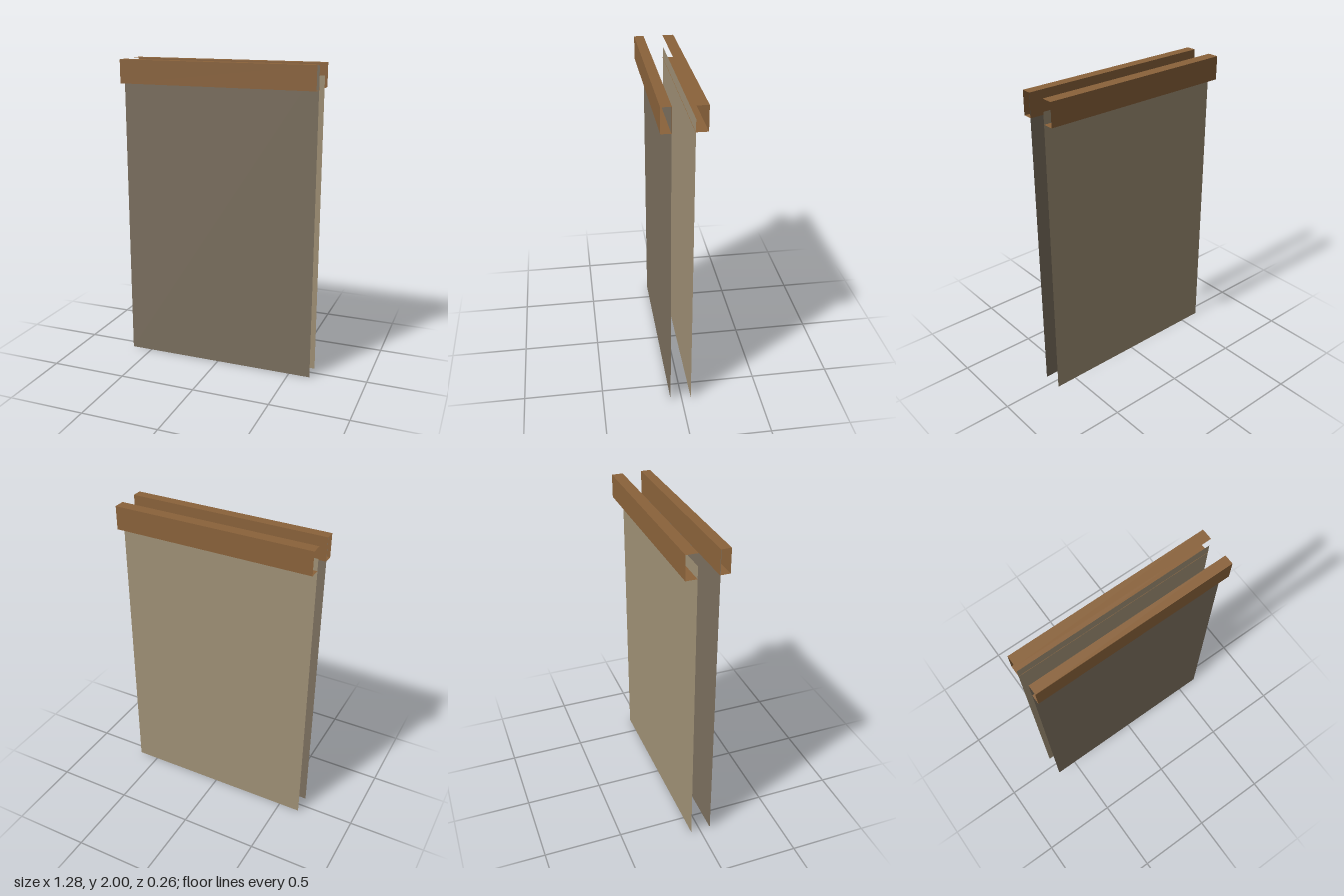
import * as THREE from 'three';

const WIDTH = 1.28, TOP = 2, VALANCE_BOTTOM = 1.85;

function material(name, color) {
  const m = new THREE.MeshStandardMaterial({ color, side: THREE.DoubleSide });
  m.name = name;
  return m;
}

// Thin upright sheet between two heights
function sheet(name, mat, y0, y1, z) {
  const mesh = new THREE.Mesh(new THREE.PlaneGeometry(WIDTH, y1 - y0), mat);
  mesh.name = name;
  mesh.position.set(0, (y0 + y1) / 2, z);
  return mesh;
}

// Thin level sheet between two depths
function shelf(name, mat, y, z0, z1) {
  const mesh = new THREE.Mesh(new THREE.PlaneGeometry(WIDTH, Math.abs(z1 - z0)), mat);
  mesh.name = name;
  mesh.rotation.x = -Math.PI / 2;
  mesh.position.set(0, y, (z0 + z1) / 2);
  return mesh;
}

// Open-ended channel: face, top and bottom
function valance(name, mat, inner, outer) {
  const group = new THREE.Group();
  group.name = name;
  group.add(
    sheet('valanceFace', mat, VALANCE_BOTTOM, TOP, outer),
    shelf('valanceTop', mat, TOP, inner, outer),
    shelf('valanceBottom', mat, VALANCE_BOTTOM, inner, outer)
  );
  return group;
}

export function createModel() {
  const wood = material('valance brown', 0x8b633b);
  const darkCloth = material('front cloth', 0x7c705f);
  const lightCloth = material('back cloth', 0xa09176);
  const model = new THREE.Group();
  model.name = 'rollerBlinds';

  // Front blind, with a board closing the rear of its valance
  const front = valance('frontValance', wood, 0.068, 0.13);
  front.add(sheet('valanceRear', wood, VALANCE_BOTTOM, TOP, 0.068));
  model.add(front, sheet('frontCloth', darkCloth, 0, 1.995, 0.071));

  // Back blind, its valance open towards the middle
  model.add(
    valance('backValance', wood, -0.058, -0.13),
    sheet('backCloth', lightCloth, 0, 1.925, -0.06)
  );
  return model;
}
